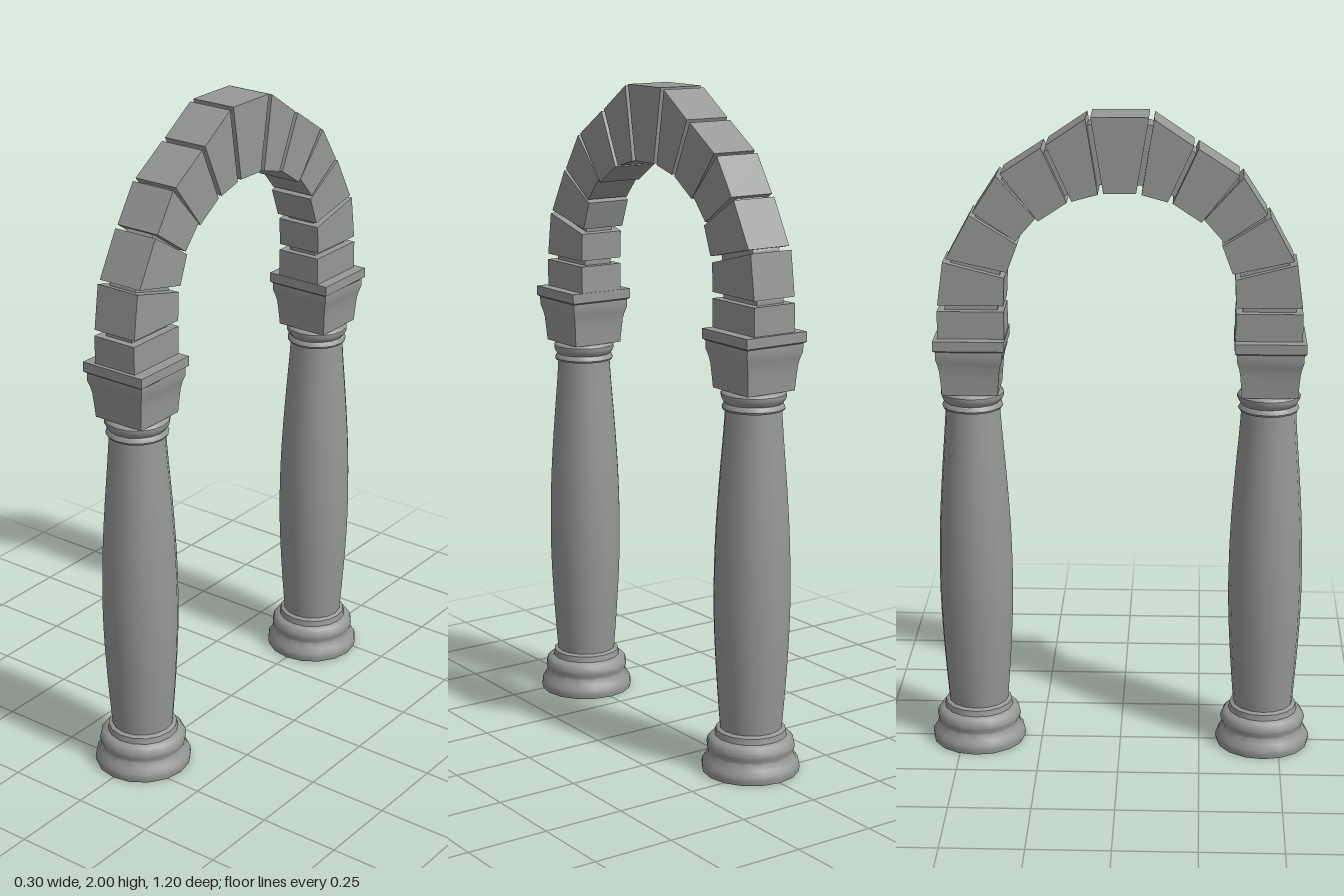
import * as THREE from 'three';
import { toCreasedNormals } from 'three/addons/utils/BufferGeometryUtils.js';

const stone = new THREE.MeshStandardMaterial({ color: 0x969896, side: THREE.DoubleSide });
stone.name = 'grey stone';

function mesh(name, geometry, crease = 0.6) {
  const m = new THREE.Mesh(toCreasedNormals(geometry, crease), stone);
  m.name = name;
  return m;
}

const vectors = (points) => points.map(([a, b]) => new THREE.Vector2(a, b));

// Turned part from [radius, height] pairs, bottom to top
const turned = (name, points, sides = 16) =>
  mesh(name, new THREE.LatheGeometry(vectors(points), sides));

// Square moulded part from [half width, height] pairs
function squareMoulding(name, points) {
  const g = new THREE.LatheGeometry(vectors(points.map(([w, y]) => [w * Math.SQRT2, y])), 4);
  g.rotateY(Math.PI / 4);
  return mesh(name, g, 0.4);
}

// Slab with a [z, y] outline, centred across x
function slab(name, outline, width) {
  const g = new THREE.ExtrudeGeometry(
    new THREE.Shape(vectors(outline.map(([z, y]) => [-z, y]))),
    { depth: width, bevelEnabled: false });
  g.translate(0, 0, -width / 2);
  g.rotateY(Math.PI / 2);
  return mesh(name, g, 0.1);
}

function createColumn() {
  const column = new THREE.Group();
  column.name = 'column';

  // Hollow moulded base, open underneath
  column.add(turned('base', [
    [0.145, 0], [0.148, 0.015], [0.146, 0.028], [0.136, 0.042], [0.128, 0.06],
    [0.129, 0.068], [0.133, 0.08], [0.13, 0.095], [0.122, 0.106], [0.108, 0.112],
    [0.106, 0.12], [0.105, 0.13], [0.092, 0.136],
  ]));

  // Swelling shaft
  const shaft = new THREE.SplineCurve(vectors([
    [0.093, 0.134], [0.104, 0.28], [0.112, 0.43], [0.114, 0.56],
    [0.11, 0.72], [0.1, 0.88], [0.088, 1.03], [0.083, 1.105],
  ])).getPoints(20).map((p) => [p.x, p.y]);
  column.add(turned('shaft', shaft));

  // Two neck rings
  column.add(turned('neckRings', [
    [0.08, 1.1], [0.09, 1.102], [0.093, 1.108], [0.09, 1.115], [0.085, 1.122],
    [0.091, 1.13], [0.096, 1.14], [0.096, 1.15], [0.09, 1.157], [0.08, 1.16],
  ]));

  // Square capital with a flared top
  column.add(squareMoulding('capital', [
    [0, 1.16], [0.084, 1.16], [0.087, 1.2], [0.09, 1.235], [0.094, 1.255], [0.1, 1.275],
    [0.1, 1.298], [0.107, 1.303], [0.107, 1.333], [0, 1.333],
  ]));
  return column;
}

function createArch() {
  const arch = new THREE.Group();
  arch.name = 'arch';
  const width = 0.144;

  // Wedge stones on one side: outer lower, outer upper, inner upper, inner lower
  const stones = [
    [[0.545, 1.33], [0.545, 1.417], [0.345, 1.417], [0.345, 1.33]],
    [[0.543, 1.435], [0.525, 1.567], [0.342, 1.52], [0.346, 1.435]],
    [[0.515, 1.577], [0.443, 1.709], [0.302, 1.622], [0.334, 1.537]],
    [[0.433, 1.717], [0.362, 1.826], [0.248, 1.7], [0.308, 1.632]],
    [[0.35, 1.832], [0.23, 1.91], [0.155, 1.748], [0.24, 1.692]],
    [[0.216, 1.917], [0.1, 1.995], [0.064, 1.773], [0.141, 1.752]],
  ];
  const keystone = [[0.085, 2], [-0.085, 2], [-0.048, 1.776], [0.048, 1.776]];

  for (const side of [1, -1]) {
    stones.forEach((s, i) => arch.add(slab(
      i ? 'wedgeStone' : 'springerStone', s.map(([z, y]) => [z * side, y]), width)));
  }
  arch.add(slab('keystone', keystone, width));

  // Recessed mortar band running through all the joints
  const mix = (a, b, t) => [a[0] + (b[0] - a[0]) * t, a[1] + (b[1] - a[1]) * t];
  const outer = [], inner = [];
  stones.forEach((s, i) => {
    const next = stones[i + 1];
    const o = mix(s[1], next ? next[0] : keystone[0], 0.5);
    const n = mix(s[2], next ? next[3] : keystone[3], 0.5);
    outer.push(mix(o, n, 0.1));
    inner.push(mix(o, n, 0.9));
  });
  outer.unshift([outer[0][0], 1.36]);
  inner.unshift([inner[0][0], 1.36]);
  const mirrored = (list) => list.map(([z, y]) => [-z, y]).reverse();
  arch.add(slab('mortar',
    [...outer, ...mirrored(outer), ...mirrored([...inner].map(([z, y]) => [z, y])).reverse(), ...[...inner].reverse()],
    0.094));
  return arch;
}

export function createModel() {
  const model = new THREE.Group();
  model.name = 'stoneArchway';
  for (const z of [0.45, -0.45]) {
    const column = createColumn();
    column.position.z = z;
    model.add(column);
  }
  model.add(createArch());
  return model;
}
